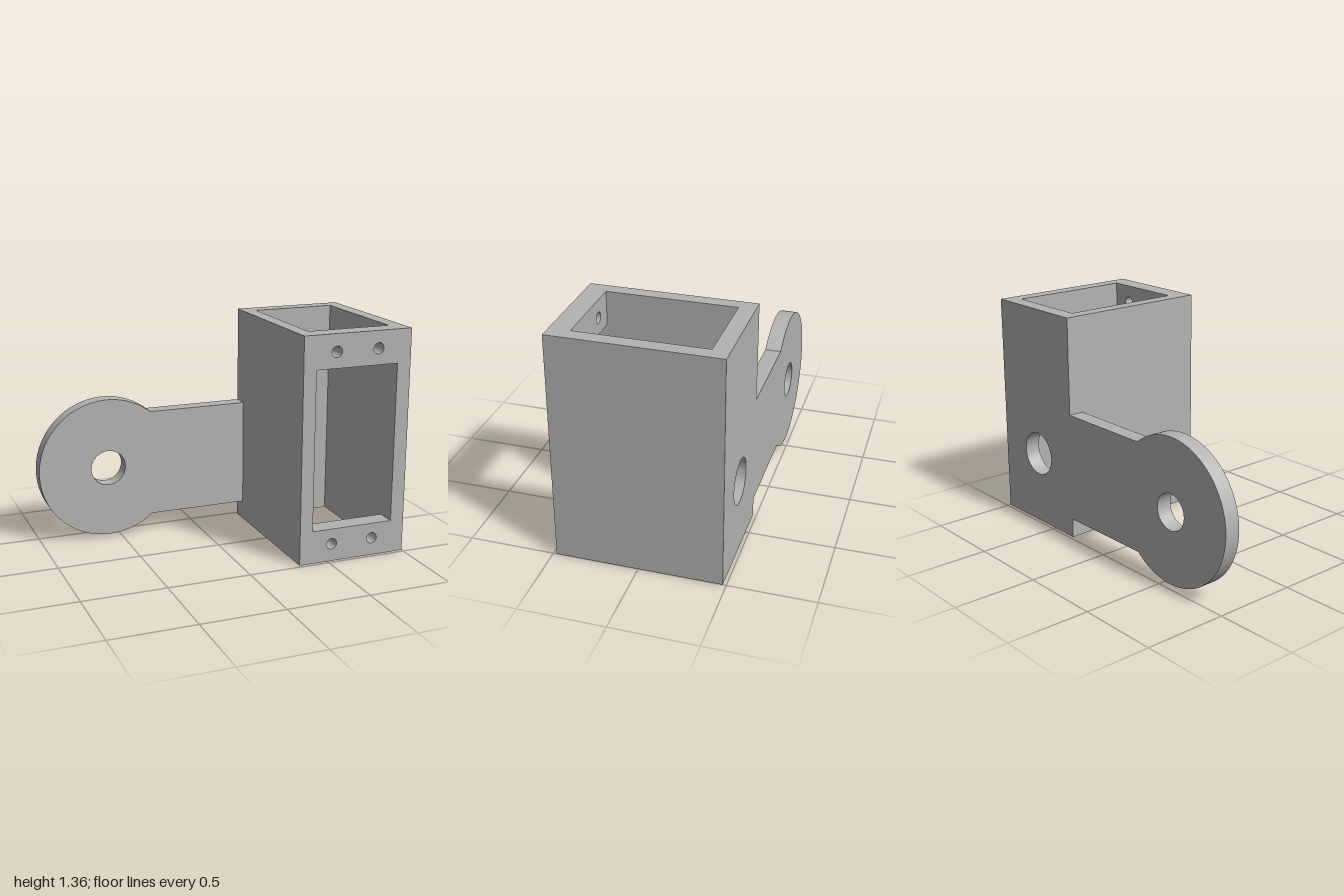
import * as THREE from 'three';
import { toCreasedNormals } from 'three/addons/utils/BufferGeometryUtils.js';

const LEFT = 1.0, RIGHT = 0.32, TOP = 1.36;         // housing outline
const IN_LEFT = 0.915, IN_RIGHT = 0.4;              // housing cavity
const BACK = -0.48, BACK_IN = -0.385, FRONT_IN = 0.36, FRONT = 0.48;
const AXIS_Y = 0.447;                               // height of both large holes

export function createModel() {
  const grey = new THREE.MeshStandardMaterial({ color: 0xb3b3b3 });
  grey.name = 'grey';
  const model = new THREE.Group();
  model.name = 'bracket';

  const add = (name, geometry) => {
    const mesh = new THREE.Mesh(geometry, grey);
    mesh.name = name;
    model.add(mesh);
    return mesh;
  };
  const drill = (shape, x, y, r) =>
    shape.holes.push(new THREE.Path().absarc(x, y, r, 0, Math.PI * 2, true));
  const rectangle = (path, x0, y0, x1, y1) =>
    path.moveTo(x0, y0).lineTo(x1, y0).lineTo(x1, y1).lineTo(x0, y1).closePath();
  const plate = (name, shape, z0, z1) => {
    const geometry = new THREE.ExtrudeGeometry(shape, {
      depth: z1 - z0, bevelEnabled: false, curveSegments: 48,
    });
    geometry.translate(0, 0, z0);
    add(name, toCreasedNormals(geometry, 0.5));
  };

  // Back plate: housing wall, arm and round lug in one outline
  const lugX = -0.573, lugR = 0.43, armHalf = 0.33;
  const meet = Math.asin(armHalf / lugR);
  const back = new THREE.Shape();
  back.moveTo(RIGHT, 0);
  back.lineTo(LEFT, 0);
  back.lineTo(LEFT, TOP);
  back.lineTo(RIGHT, TOP);
  back.lineTo(RIGHT, AXIS_Y + armHalf);
  back.absarc(lugX, AXIS_Y, lugR, meet, Math.PI * 2 - meet, false);
  back.lineTo(RIGHT, AXIS_Y - armHalf);
  back.closePath();
  drill(back, lugX, AXIS_Y, 0.108);
  drill(back, 0.657, AXIS_Y, 0.133);
  plate('backPlateWithArm', back, BACK, BACK_IN);

  // Front plate: window and four screw holes
  const front = rectangle(new THREE.Shape(), RIGHT, 0, LEFT, TOP);
  front.holes.push(rectangle(new THREE.Path(), IN_RIGHT, 0.2, IN_LEFT, 1.16));
  for (const x of [0.525, 0.79]) {
    for (const y of [0.108, 1.256]) drill(front, x, y, 0.033);
  }
  plate('frontPlate', front, FRONT_IN, FRONT);

  // Side walls joining the two plates
  for (const [name, x0, x1] of [['rightWall', RIGHT, IN_RIGHT], ['leftWall', IN_LEFT, LEFT]]) {
    const wall = add(name, new THREE.BoxGeometry(x1 - x0, TOP, FRONT_IN - BACK_IN));
    wall.position.set((x0 + x1) / 2, TOP / 2, (FRONT_IN + BACK_IN) / 2);
  }
  return model;
}
